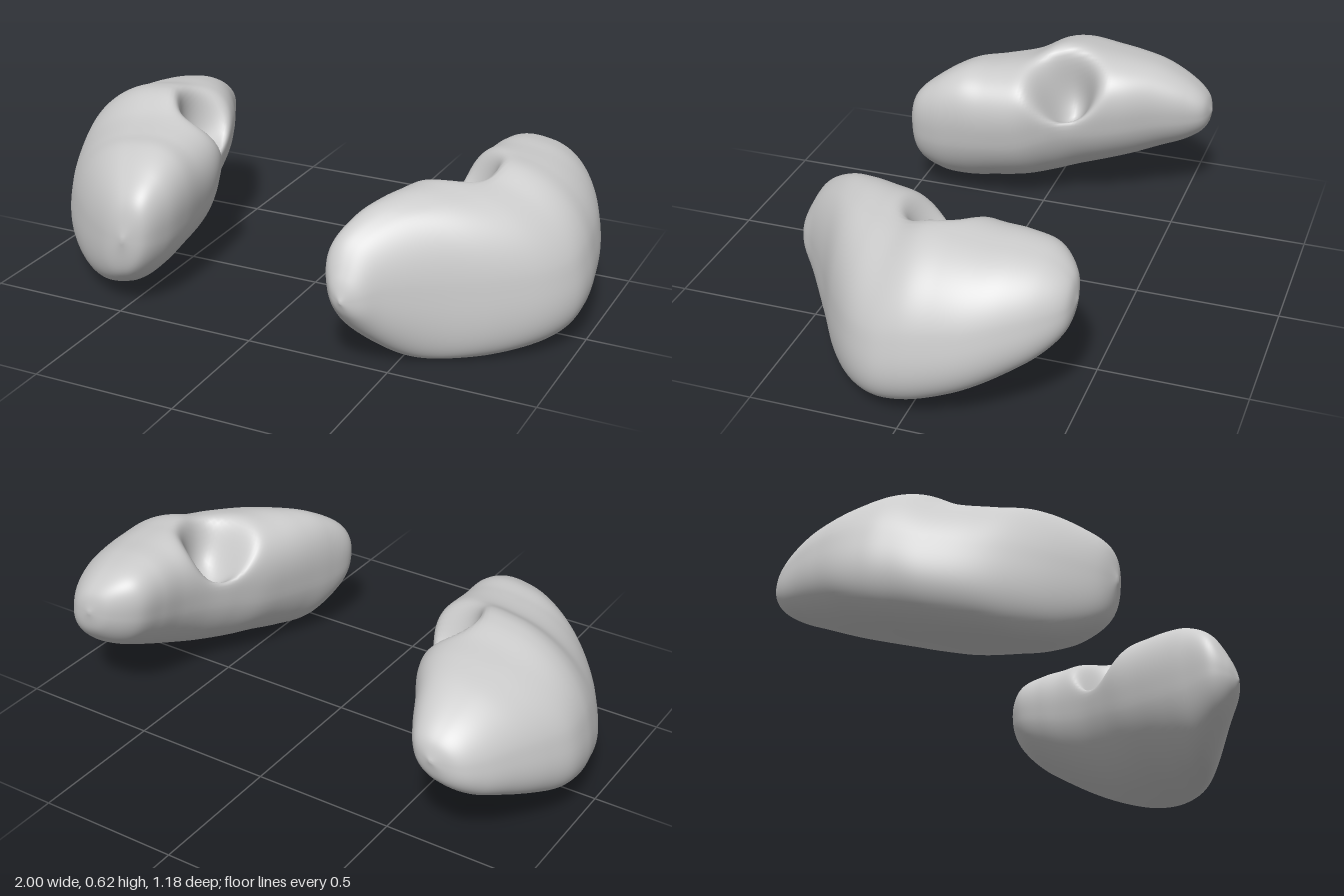
import * as THREE from 'three';

const ROWS = 110, SIDES = 96;

// Stations run back to front: [z, xMin, xMax, yMin, yMax]
const rightStations = [
  [-0.59, -0.70, -0.70, 0.39, 0.39],
  [-0.565, -0.79, -0.63, 0.31, 0.455],
  [-0.5, -0.855, -0.585, 0.25, 0.51],
  [-0.4, -0.915, -0.535, 0.20, 0.56],
  [-0.3, -0.965, -0.48, 0.155, 0.585],
  [-0.2, -1.0, -0.445, 0.115, 0.60],
  [-0.1, -1.0, -0.42, 0.08, 0.622],
  [-0.02, -0.985, -0.375, 0.06, 0.62],
  [0.08, -0.955, -0.345, 0.04, 0.572],
  [0.2, -0.89, -0.34, 0.03, 0.55],
  [0.3, -0.81, -0.34, 0.03, 0.54],
  [0.4, -0.70, -0.355, 0.06, 0.49],
  [0.485, -0.57, -0.395, 0.14, 0.41],
  [0.517, -0.47, -0.47, 0.28, 0.28],
];
const leftStations = [
  [-0.492, 0.72, 0.72, 0.41, 0.41],
  [-0.47, 0.64, 0.80, 0.32, 0.485],
  [-0.4, 0.56, 0.87, 0.24, 0.54],
  [-0.3, 0.535, 0.93, 0.175, 0.565],
  [-0.2, 0.52, 0.97, 0.12, 0.572],
  [-0.1, 0.49, 0.99, 0.075, 0.582],
  [0.0, 0.44, 1.0, 0.04, 0.59],
  [0.1, 0.39, 0.985, 0.02, 0.56],
  [0.2, 0.355, 0.92, 0.01, 0.55],
  [0.3, 0.325, 0.80, 0.005, 0.54],
  [0.4, 0.30, 0.64, 0.025, 0.51],
  [0.5, 0.285, 0.50, 0.12, 0.44],
  [0.56, 0.32, 0.43, 0.20, 0.34],
  [0.586, 0.37, 0.37, 0.26, 0.26],
];

const curveOf = points => new THREE.CatmullRomCurve3(points, false, 'catmullrom', 0.5);
// Rounds a sine or cosine towards a fuller, slightly boxy oval
const full = v => Math.sign(v) * Math.abs(v) ** 0.88;

// Loft of tilted ovals, with the hilum pressed into the upper inner side
function kidney(name, stations, tilt, hilum) {
  const low = curveOf(stations.map(([z, x, , y]) => new THREE.Vector3(x, y, z)));
  const high = curveOf(stations.map(([z, , x, , y]) => new THREE.Vector3(x, y, z)));
  const pos = [], index = [];
  const id = (i, j) => i === 0 ? 0
    : i === ROWS ? 1 + (ROWS - 1) * SIDES
    : 1 + (i - 1) * SIDES + j % SIDES;

  // Hollow with a flat floor and a clear rim
  const addPoint = (x, y, z) => {
    const [cx, cy, cz] = hilum.centre;
    const d = ((x - cx) ** 2 + (y - cy) ** 2) / 0.012 + (z - cz) ** 2 / 0.01;
    const w = Math.exp(-(d ** 1.5));
    pos.push(x + hilum.push[0] * w, y + hilum.push[1] * w, z);
  };

  for (let i = 0; i <= ROWS; i++) {
    const a = low.getPoint(i / ROWS), b = high.getPoint(i / ROWS);
    const count = i === 0 || i === ROWS ? 1 : SIDES;
    for (let j = 0; j < count; j++) {
      const t = j / SIDES * Math.PI * 2;
      addPoint(
        (a.x + b.x) / 2 + (b.x - a.x) / 2 * full(Math.cos(t)),
        (a.y + b.y) / 2 + (b.y - a.y) / 2 * full(Math.sin(t + tilt)),
        a.z);
    }
  }
  for (let i = 0; i < ROWS; i++) {
    for (let j = 0; j < SIDES; j++) {
      const a = id(i, j), b = id(i, j + 1), c = id(i + 1, j), d = id(i + 1, j + 1);
      if (i > 0) index.push(a, b, c);
      if (i < ROWS - 1) index.push(b, d, c);
    }
  }
  const geometry = new THREE.BufferGeometry();
  geometry.setAttribute('position', new THREE.Float32BufferAttribute(pos, 3));
  geometry.setIndex(index);
  geometry.computeVertexNormals();
  const mesh = new THREE.Mesh(geometry, new THREE.MeshStandardMaterial({ color: 0xcccccc }));
  mesh.name = name;
  return mesh;
}

export function createModel() {
  const group = new THREE.Group();
  group.name = 'kidneys';
  group.add(
    kidney('rightKidney', rightStations, 0.33, { centre: [-0.45, 0.54, -0.08], push: [-0.13, -0.18] }),
    kidney('leftKidney', leftStations, -0.33, { centre: [0.53, 0.53, 0.0], push: [0.09, -0.2] }),
  );
  return group;
}
